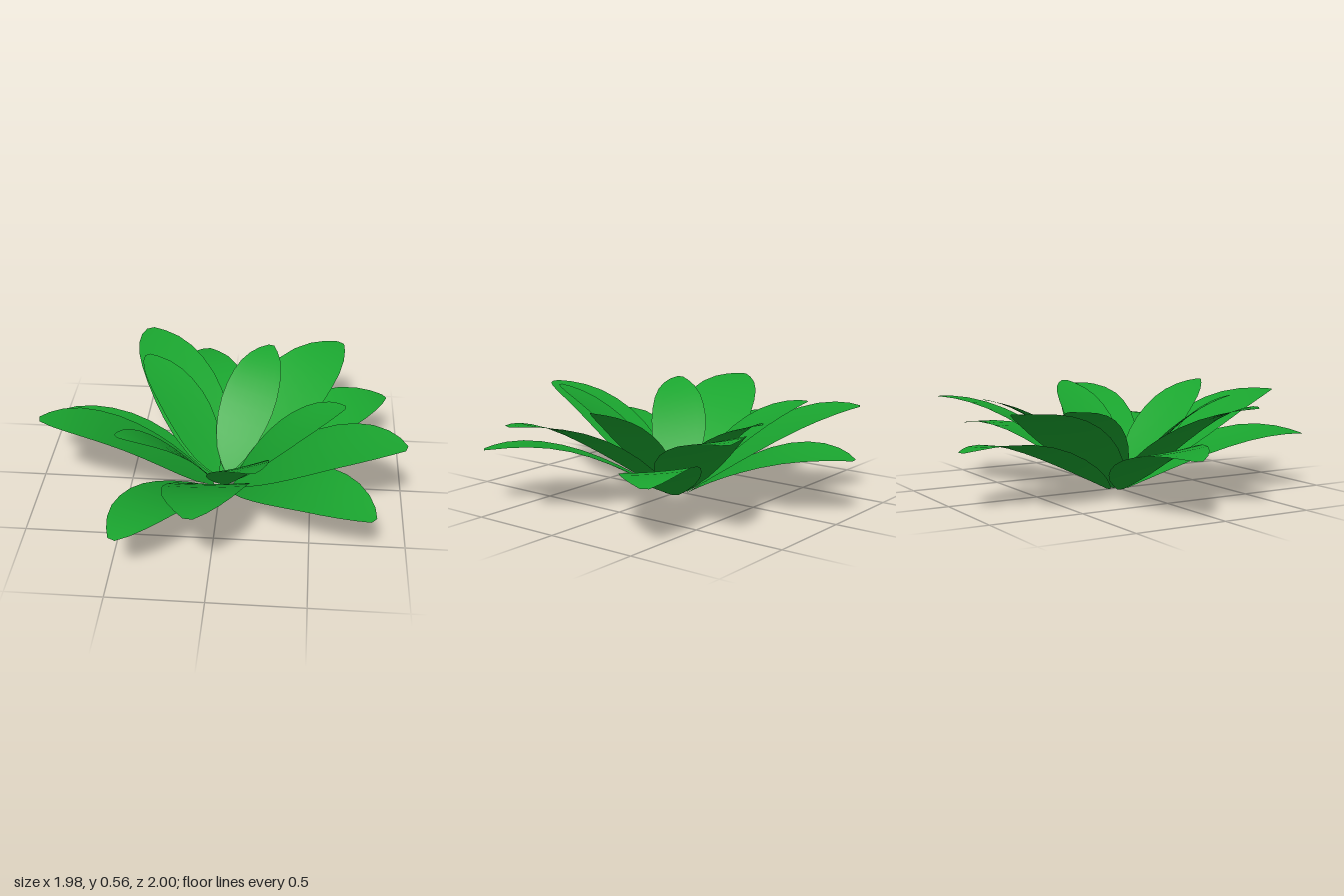
import * as THREE from 'three';

const CENTRE_X = 0.015;
const COLUMNS = 6;

// blade outline: [position along blade, half width on one side, on the other]
const OUTLINE = [
  [0, 0.02, 0.02], [0.05, 0.058, 0.07], [0.14, 0.12, 0.135], [0.25, 0.17, 0.18],
  [0.36, 0.202, 0.203], [0.47, 0.218, 0.212], [0.58, 0.217, 0.209], [0.69, 0.199, 0.196],
  [0.79, 0.17, 0.171], [0.88, 0.124, 0.131], [0.95, 0.07, 0.082], [1, 0.02, 0.027],
];

// each ring: root height, control point of the rising curve, width, roll,
// and [angle, length, tip height] of its leaves
const RINGS = [
  { name: 'outerLeaf', root: 0.003, control: [0.6, 0.388], width: 0.92, roll: 0.026,
    leaves: [[-29.5, 1.03, 0.303], [40, 1.04, 0.3], [117.6, 1.03, 0.3], [188.6, 1.015, 0.302], [259.8, 1.015, 0.3]] },
  { name: 'middleLeaf', root: 0.012, control: [0.61, 0.5], width: 1, roll: 0.027,
    leaves: [[18.2, 1.01, 0.498], [95.4, 1.0, 0.512], [167, 0.98, 0.522], [239.1, 0.985, 0.512], [309.4, 1.005, 0.498]] },
  { name: 'innerLeaf', root: 0.03, control: [0.55, 0.45], width: 0.72, roll: 0.022,
    leaves: [[2.5, 0.65, 0.55], [74.5, 0.71, 0.563], [144, 0.65, 0.543], [227.8, 0.72, 0.505], [288.3, 0.73, 0.51]] },
];

function leafGeometry(ring, degrees, length, height) {
  const a = THREE.MathUtils.degToRad(degrees);
  const dx = Math.cos(a), dz = Math.sin(a);
  const spine = new THREE.QuadraticBezierCurve(
    new THREE.Vector2(0.058, ring.root),
    new THREE.Vector2(ring.control[0] * length, ring.control[1]),
    new THREE.Vector2(length, height));
  const positions = [], indices = [];

  // sweep the cross-section along the spine, rolled a little to one side
  for (const [t, plus, minus] of OUTLINE) {
    const p = spine.getPointAt(t);
    const swell = Math.sin(Math.PI * t);
    for (let j = 0; j <= COLUMNS; j++) {
      const s = (j / COLUMNS) * 2 - 1;
      const side = s * ring.width * (s > 0 ? plus : minus);
      const y = p.y + swell * (0.008 * s * s - ring.roll * s);
      positions.push(CENTRE_X + dx * p.x - dz * side, Math.max(0, y), dz * p.x + dx * side);
    }
  }
  const row = COLUMNS + 1;
  for (let i = 0; i < OUTLINE.length - 1; i++) {
    for (let j = 0; j < COLUMNS; j++) {
      const k = i * row + j;
      indices.push(k, k + 1, k + row, k + 1, k + row + 1, k + row);
    }
  }
  const geometry = new THREE.BufferGeometry();
  geometry.setAttribute('position', new THREE.Float32BufferAttribute(positions, 3));
  geometry.setIndex(indices);
  geometry.computeVertexNormals();
  return geometry;
}

export function createModel() {
  const plant = new THREE.Group();
  plant.name = 'rosettePlant';
  const leafGreen = new THREE.MeshStandardMaterial({ color: 0x1aa52f, side: THREE.DoubleSide });
  leafGreen.name = 'leafGreen';

  // three overlapping rings of five leaves
  for (const ring of RINGS) {
    const group = new THREE.Group();
    group.name = ring.name + 'Ring';
    ring.leaves.forEach(([degrees, length, height], i) => {
      const leaf = new THREE.Mesh(leafGeometry(ring, degrees, length, height), leafGreen);
      leaf.name = ring.name + (i + 1);
      group.add(leaf);
    });
    plant.add(group);
  }
  return plant;
}
